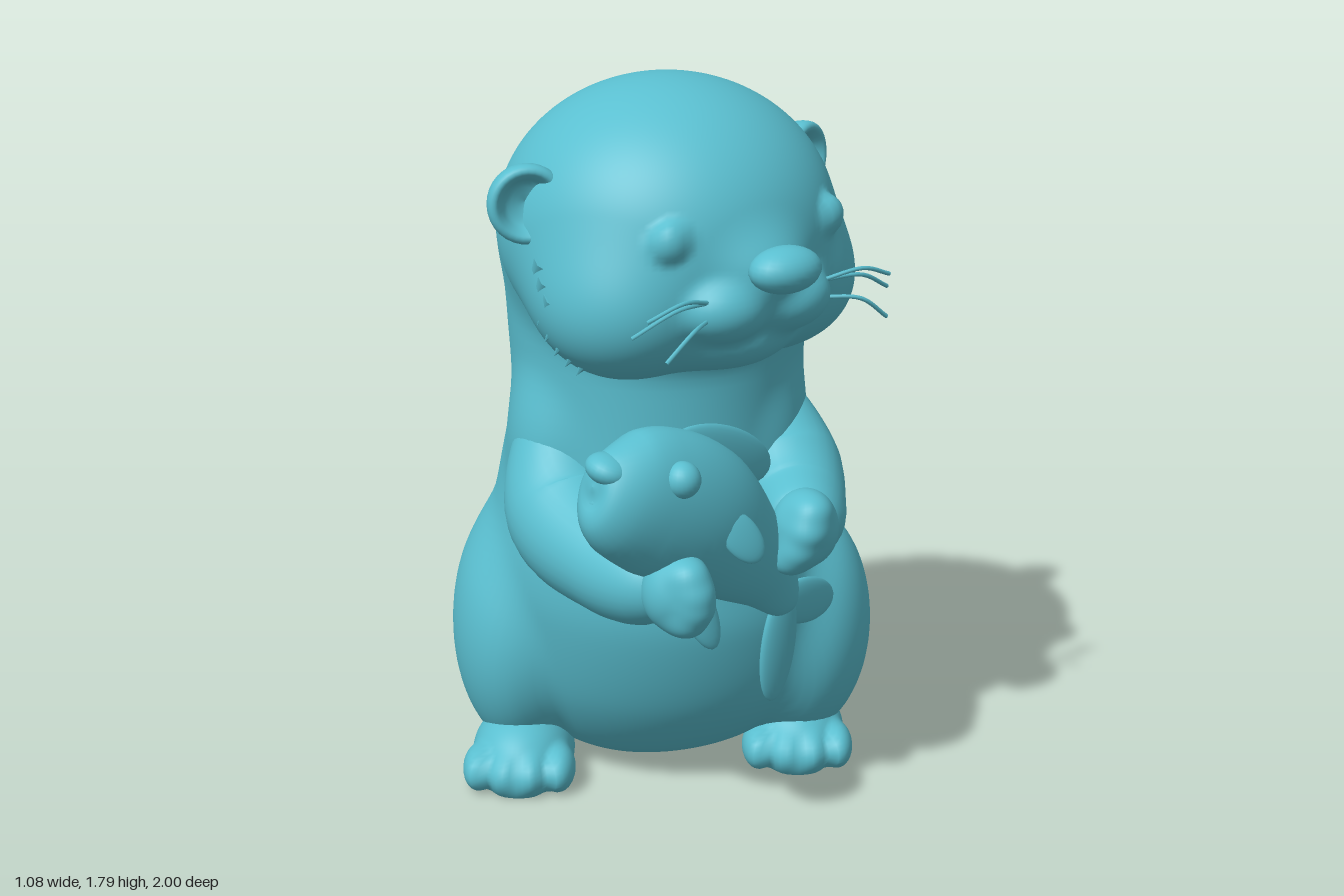
import * as THREE from 'three';

const teal = new THREE.MeshStandardMaterial({ color: 0x5abfd0 });
teal.name = 'teal';
const V = (x, y, z) => new THREE.Vector3(x, y, z);

function add(parent, name, geometry) {
  const mesh = new THREE.Mesh(geometry, teal);
  mesh.name = name;
  parent.add(mesh);
  return mesh;
}

// Ellipsoid part
function ball(parent, name, pos, radii, rot = [0, 0, 0]) {
  const mesh = add(parent, name, new THREE.SphereGeometry(1, 24, 16));
  mesh.position.set(...pos);
  mesh.scale.set(...radii);
  mesh.rotation.set(...rot);
  return mesh;
}

// Closed skin over rings: fn(u, angle) gives the surface point
function skin(nu, nv, fn) {
  const pos = [], idx = [];
  for (let i = 0; i <= nu; i++)
    for (let j = 0; j < nv; j++) pos.push(...fn(i / nu, (j / nv) * Math.PI * 2).toArray());
  for (let i = 0; i < nu; i++)
    for (let j = 0; j < nv; j++) {
      const k = (j + 1) % nv, a = i * nv + j, b = i * nv + k, c = b + nv, d = a + nv;
      idx.push(a, b, c, a, c, d);
    }
  const g = new THREE.BufferGeometry();
  g.setAttribute('position', new THREE.Float32BufferAttribute(pos, 3));
  g.setIndex(idx);
  g.computeVertexNormals();
  return g;
}

const spline = pts => new THREE.CatmullRomCurve3(pts, false, 'catmullrom', 0.5);

// Distance to lumps [x, y, z, rx, ry, rz, softness], melted into a start value
function melt(p, lumps, start = 9) {
  let f = start;
  for (const [x, y, z, rx, ry, rz, k] of lumps) {
    const a = (p.x - x) / rx, b = (p.y - y) / ry, c = (p.z - z) / rz;
    const k0 = Math.hypot(a, b, c), k1 = Math.hypot(a / rx, b / ry, c / rz) || 1;
    const d = k0 * (k0 - 1) / k1, h = Math.max(k - Math.abs(f - d), 0);
    f = Math.min(f, d) - h * h / (4 * k);
  }
  return f;
}

// Point where a ray from inside leaves the field
function exit(field, origin, dir) {
  const at = t => origin.clone().addScaledVector(dir, t);
  let hi = 0.01;
  while (hi < 1 && field(at(hi)) < 0) hi += 0.01;
  let lo = hi - 0.01;
  for (let i = 0; i < 10; i++) {
    const m = (lo + hi) / 2;
    if (field(at(m)) < 0) lo = m; else hi = m;
  }
  return at(lo);
}

// Several lumps melted together, seen from an inner point
function blob(parent, name, center, lumps, nu, nv) {
  return add(parent, name, skin(nu, nv, (u, a) => {
    const s = Math.sin(u * Math.PI);
    return exit(p => melt(p, lumps), V(...center), V(Math.sin(a) * s, -Math.cos(u * Math.PI), Math.cos(a) * s));
  }));
}

// Tapered limb through rows [x, y, z, radius]; flat squeezes it along side
function limb(parent, name, rows, side = V(1, 0, 0), flat = 1) {
  const path = spline(rows.map(r => V(r[0], r[1], r[2])));
  const size = spline(rows.map(r => V(r[3], 0, 0)));
  return add(parent, name, skin(48, 32, (u, a) => {
    const t = path.getTangent(u);
    const n = side.clone().addScaledVector(t, -side.dot(t)).normalize();
    const b = t.clone().cross(n);
    const r = Math.max(size.getPoint(u).x, 0.0005);
    return path.getPoint(u).addScaledVector(n, Math.cos(a) * r * flat).addScaledVector(b, Math.sin(a) * r);
  }));
}

// Thin leaf-shaped fin from base to tip
function fin(parent, name, base, tip, width, normal, thick = 0.015) {
  const a = V(...base), b = V(...tip), d = b.clone().sub(a), len = d.length();
  d.normalize();
  const n = normal.clone().addScaledVector(d, -normal.dot(d)).normalize();
  const m = ball(parent, name, a.add(b).multiplyScalar(0.5).toArray(), [width, len / 2, thick]);
  m.quaternion.setFromRotationMatrix(new THREE.Matrix4().makeBasis(d.clone().cross(n), d, n));
}

function makeBody(model) {
  // Rows: y, min x, max x, min z, max z
  const rows = [
    [0.01, -0.2, 0.05, 0.0, 0.25], [0.03, -0.27, 0.14, -0.1, 0.32], [0.1, -0.36, 0.3, -0.19, 0.43],
    [0.25, -0.43, 0.4, -0.25, 0.54], [0.45, -0.45, 0.41, -0.25, 0.61], [0.6, -0.45, 0.38, -0.21, 0.62],
    [0.8, -0.41, 0.345, -0.13, 0.6], [1.0, -0.375, 0.33, -0.07, 0.6], [1.2, -0.38, 0.35, -0.055, 0.61],
    [1.4, -0.39, 0.385, -0.05, 0.64], [1.52, -0.37, 0.375, -0.03, 0.65], [1.62, -0.3, 0.32, 0.05, 0.62],
    [1.7, -0.18, 0.2, 0.2, 0.54], [1.76, -0.01, 0.01, 0.36, 0.38]];
  // Thighs, tail root, shoulders and back of the head melt into the trunk
  const lumps = [
    [0.335, 0.34, 0.15, 0.19, 0.31, 0.25, 0.05], [-0.36, 0.36, 0.22, 0.182, 0.34, 0.275, 0.05],
    [-0.125, 0.215, -0.25, 0.185, 0.185, 0.33, 0.13], [0.24, 0.93, 0.3, 0.09, 0.16, 0.14, 0.08],
    [-0.25, 0.92, 0.4, 0.1, 0.16, 0.13, 0.08], [0.01, 1.45, 0.38, 0.385, 0.335, 0.39, 0.06]];
  const mid = spline(rows.map(r => V((r[1] + r[2]) / 2, r[0], (r[3] + r[4]) / 2)));
  const rad = spline(rows.map(r => V((r[2] - r[1]) / 2, 0, (r[4] - r[3]) / 2)));
  add(model, 'body', skin(104, 128, (u, a) => {
    const r = rad.getPoint(u), c = mid.getPoint(u);
    if (u === 0 || u === 1) return c;
    const trunk = p => (Math.hypot((p.x - c.x) / r.x, (p.z - c.z) / r.z) - 1) * Math.min(r.x, r.z);
    return exit(p => melt(p, lumps, trunk(p)), c, V(Math.sin(a), 0, Math.cos(a)));
  }));
  limb(model, 'tail', [
    [-0.06, 0.3, 0.05, 0.15], [-0.11, 0.25, -0.14, 0.2], [-0.13, 0.215, -0.32, 0.195], [-0.12, 0.19, -0.5, 0.17],
    [-0.06, 0.205, -0.66, 0.142], [0.03, 0.28, -0.8, 0.115], [0.1, 0.4, -0.89, 0.09],
    [0.14, 0.5, -0.935, 0.064], [0.155, 0.55, -0.95, 0.051]]);
  ball(model, 'tailTip', [0.155, 0.55, -0.95], [0.051, 0.052, 0.051]);
}

function makeFoot(model, side, pos, yaw) {
  const lumps = [[0, 0.02, 0, 0.125, 0.105, 0.225, 0.01], [0, 0.05, 0.05, 0.115, 0.1, 0.14, 0.04]];
  for (let i = 0; i < 4; i++) {
    const k = i - 1.5;
    lumps.push([k * 0.066, 0.035, 0.165 - Math.abs(k) * 0.018, 0.042, 0.056, 0.078, 0.015]);
  }
  const foot = blob(model, side + 'HindFoot', [0, 0.03, 0.02], lumps, 56, 80);
  // Sole is flattened against the ground
  const p = foot.geometry.attributes.position;
  for (let i = 0; i < p.count; i++) p.setY(i, Math.max(p.getY(i), -0.015));
  foot.geometry.computeVertexNormals();
  foot.position.set(...pos);
  foot.rotation.y = yaw;
}

function makeArm(model, side, rows, paw, fingers) {
  const arm = new THREE.Group();
  arm.name = side + 'Arm';
  model.add(arm);
  limb(arm, 'foreArm', rows, V(0, 1, 0));
  blob(arm, 'paw', paw, [[...paw, 0.08, 0.095, 0.08, 0.01],
    ...fingers.map(f => [...f, 0.042, 0.036, 0.045, 0.03])], 40, 48);
}

function makeHead(model) {
  const head = new THREE.Group();
  head.name = 'head';
  head.position.set(0.01, 1.45, 0.38);
  head.rotation.y = 0.66;
  model.add(head);
  const lumps = [[0, 0, 0, 0.4, 0.35, 0.4, 0.01]];
  for (const s of [-1, 1]) lumps.push([s * 0.22, -0.13, 0.13, 0.185, 0.17, 0.2, 0.09]);
  lumps.push([0, -0.2, 0.25, 0.15, 0.085, 0.125, 0.06], [0, -0.04, 0.34, 0.1, 0.08, 0.1, 0.08]);
  for (const s of [-1, 1])
    lumps.push([s * 0.085, -0.11, 0.335, 0.115, 0.085, 0.105, 0.025],
      [s * 0.215, 0.05, 0.322, 0.048, 0.05, 0.04, 0.012]);
  blob(head, 'face', [0, 0, 0], lumps, 112, 144);
  ball(head, 'nose', [0, -0.015, 0.455], [0.09, 0.053, 0.065]);
  // Cup-shaped ear profile, back to rim to inner dish
  const cup = [[0, -0.09], [0.05, -0.075], [0.083, -0.025], [0.092, 0.015], [0.088, 0.035],
    [0.075, 0.04], [0.062, 0.028], [0.045, 0.005], [0, -0.01]].map(p => new THREE.Vector2(...p));
  const earGeo = new THREE.LatheGeometry(new THREE.SplineCurve(cup).getPoints(32), 32).rotateX(Math.PI / 2);
  for (const s of [-1, 1]) {
    const ear = add(head, 'ear', earGeo);
    ear.position.set(s * 0.385, 0.1, 0);
    ear.rotation.y = s * 0.4;
    // Whiskers
    [[0.36, -0.13, 0.38], [0.31, -0.18, 0.44], [0.34, -0.09, 0.41]].forEach((e, i) => {
      const a = V(s * 0.16, -0.08 - (i % 2) * 0.04, 0.39), b = V(s * e[0], e[1], e[2]);
      const m = a.clone().lerp(b, 0.5).add(V(0, 0.025, 0.02));
      add(head, 'whisker', new THREE.TubeGeometry(spline([a, m, b]), 12, 0.005, 6));
    });
    // Cheek fur points along the jaw
    for (let i = 0; i < 7; i++) {
      const t = i / 6, ang = 1.45 - t * 0.3;
      const out = V(s * Math.sin(ang), -0.15 - t * 0.55, Math.cos(ang)).normalize();
      const tuft = add(head, 'furTuft', new THREE.ConeGeometry(0.028, 0.1, 8));
      tuft.position.copy(exit(p => melt(p, lumps), V(0, 0, 0), out)).addScaledVector(out, -0.016);
      tuft.quaternion.setFromUnitVectors(V(0, 1, 0), V(s * 0.1, -0.75, -0.6).normalize());
    }
  }
}

function makeFish(model) {
  const fish = new THREE.Group();
  fish.name = 'fish';
  model.add(fish);
  const side = V(0.68, 0, 0.73), flank = (p, k) => V(...p).addScaledVector(side, k).toArray();
  limb(fish, 'fishBody', [
    [-0.125, 1.0, 0.96, 0.0], [-0.115, 0.995, 0.95, 0.08], [-0.07, 0.965, 0.91, 0.14], [0, 0.925, 0.84, 0.17],
    [0.09, 0.86, 0.76, 0.17], [0.17, 0.76, 0.68, 0.14], [0.25, 0.65, 0.6, 0.09], [0.3, 0.56, 0.56, 0.045],
    [0.31, 0.53, 0.55, 0.0]], side, 0.7);
  // Lips
  ball(fish, 'upperLip', [-0.09, 1.03, 0.93], [0.055, 0.035, 0.055], [0, 0, -0.3]);
  ball(fish, 'lowerLip', [-0.1, 0.96, 0.93], [0.045, 0.03, 0.045], [0, 0, 0.3]);
  for (const s of [-1, 1]) {
    ball(fish, 'fishEye', flank([0.01, 1.0, 0.845], s * 0.088), [0.042, 0.042, 0.042]);
    fin(fish, 'pectoralFin', flank([0.08, 0.89, 0.75], s * 0.11), flank([0.15, 0.77, 0.7], s * 0.14), 0.045, side);
  }
  fin(fish, 'dorsalFin', [0.03, 1.04, 0.8], [0.26, 0.9, 0.55], 0.075, side, 0.022);
  fin(fish, 'ventralFin', [0.06, 0.72, 0.74], [0.14, 0.51, 0.72], 0.045, side, 0.02);
  fin(fish, 'tailFin', [0.3, 0.6, 0.57], [0.275, 0.29, 0.54], 0.055, side, 0.02);
  fin(fish, 'tailFin', [0.28, 0.57, 0.58], [0.42, 0.48, 0.35], 0.06, side, 0.02);
}

export function createModel() {
  const model = new THREE.Group();
  model.name = 'otterWithFish';
  makeBody(model);
  makeHead(model);
  makeFoot(model, 'left', [0.33, 0.02, 0.17], 0.08);
  makeFoot(model, 'right', [-0.355, 0.02, 0.325], 0);
  makeArm(model, 'left', [
    [0.2, 1.05, 0.22, 0.02], [0.235, 0.97, 0.27, 0.1], [0.29, 0.84, 0.36, 0.14], [0.325, 0.78, 0.48, 0.122],
    [0.34, 0.775, 0.6, 0.09], [0.34, 0.775, 0.66, 0.01]], [0.345, 0.775, 0.615],
    [[0.36, 0.83, 0.655], [0.35, 0.785, 0.67], [0.33, 0.735, 0.66], [0.31, 0.705, 0.64]]);
  makeArm(model, 'right', [
    [-0.22, 1.05, 0.36, 0.02], [-0.24, 0.96, 0.4, 0.1], [-0.22, 0.77, 0.51, 0.15], [-0.1, 0.71, 0.69, 0.125],
    [0.01, 0.71, 0.82, 0.092], [0.07, 0.71, 0.87, 0.01]], [0.055, 0.72, 0.875],
    [[0.085, 0.775, 0.915], [0.1, 0.735, 0.925], [0.1, 0.695, 0.92], [0.08, 0.66, 0.905]]);
  makeFish(model);
  return model;
}
